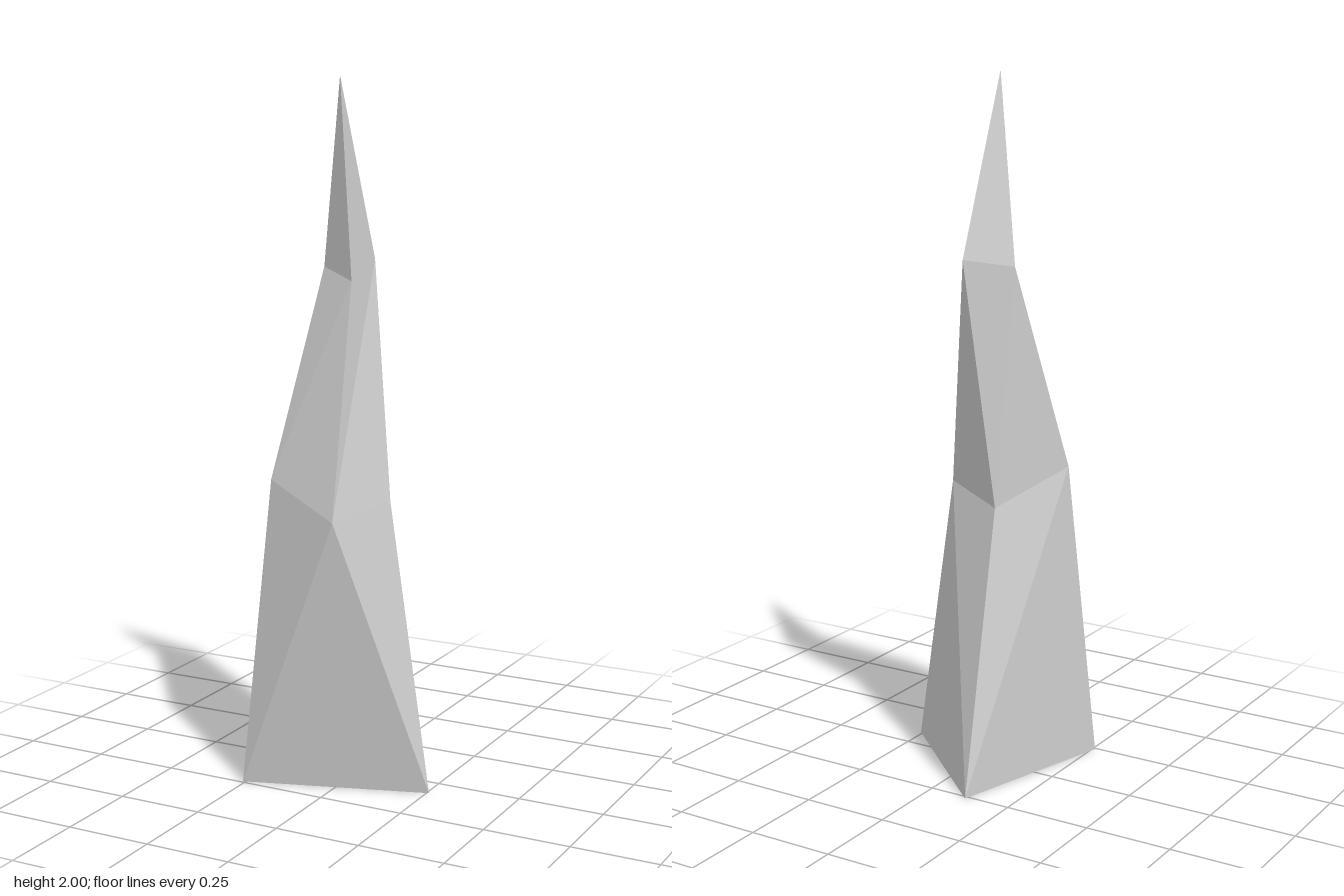
import * as THREE from 'three';

// Low-poly leaning shard: triangular foot, four-cornered waist, triangular neck, single tip.
// Each ring runs counter-clockwise seen from above.
const foot = [[-0.258, 0, 0.244], [0.257, 0, 0.08], [-0.118, 0, -0.262]];
const waist = [[0.045, 0.8, 0.26], [0.112, 0.825, 0.04], [-0.085, 0.79, -0.05], [-0.2, 0.88, 0.167]];
const neck = [[0, 1.44, 0.06], [0, 1.49, -0.083], [-0.118, 1.47, 0]];
const tip = [-0.042, 2, 0.046];

function facets(name, triangles) {
  const geometry = new THREE.BufferGeometry();
  geometry.setAttribute('position', new THREE.Float32BufferAttribute(triangles.flat(2), 3));
  geometry.computeVertexNormals();
  const material = new THREE.MeshStandardMaterial({ color: 0xcccccc, flatShading: true });
  const mesh = new THREE.Mesh(geometry, material);
  mesh.name = name;
  return mesh;
}

export function createModel() {
  const [f0, f1, f2] = foot;
  const [w0, w1, w2, w3] = waist;
  const [n0, n1, n2] = neck;
  const group = new THREE.Group();
  group.name = 'shard';

  // Underside and lower body, foot to waist
  group.add(facets('lowerBody', [
    [f0, f2, f1],
    [f0, f1, w0], [f1, w1, w0],
    [f1, f2, w1], [f2, w2, w1],
    [f2, w3, w2], [f2, f0, w3],
    [f0, w0, w3],
  ]));

  // Upper body, waist to neck
  group.add(facets('upperBody', [
    [w0, w1, n1], [w0, n1, n0],
    [w1, w2, n1], [w2, n2, n1],
    [w2, w3, n2],
    [w3, w0, n0], [w3, n0, n2],
  ]));

  // Pointed tip
  group.add(facets('tip', neck.map((p, i) => [p, neck[(i + 1) % 3], tip])));
  return group;
}
